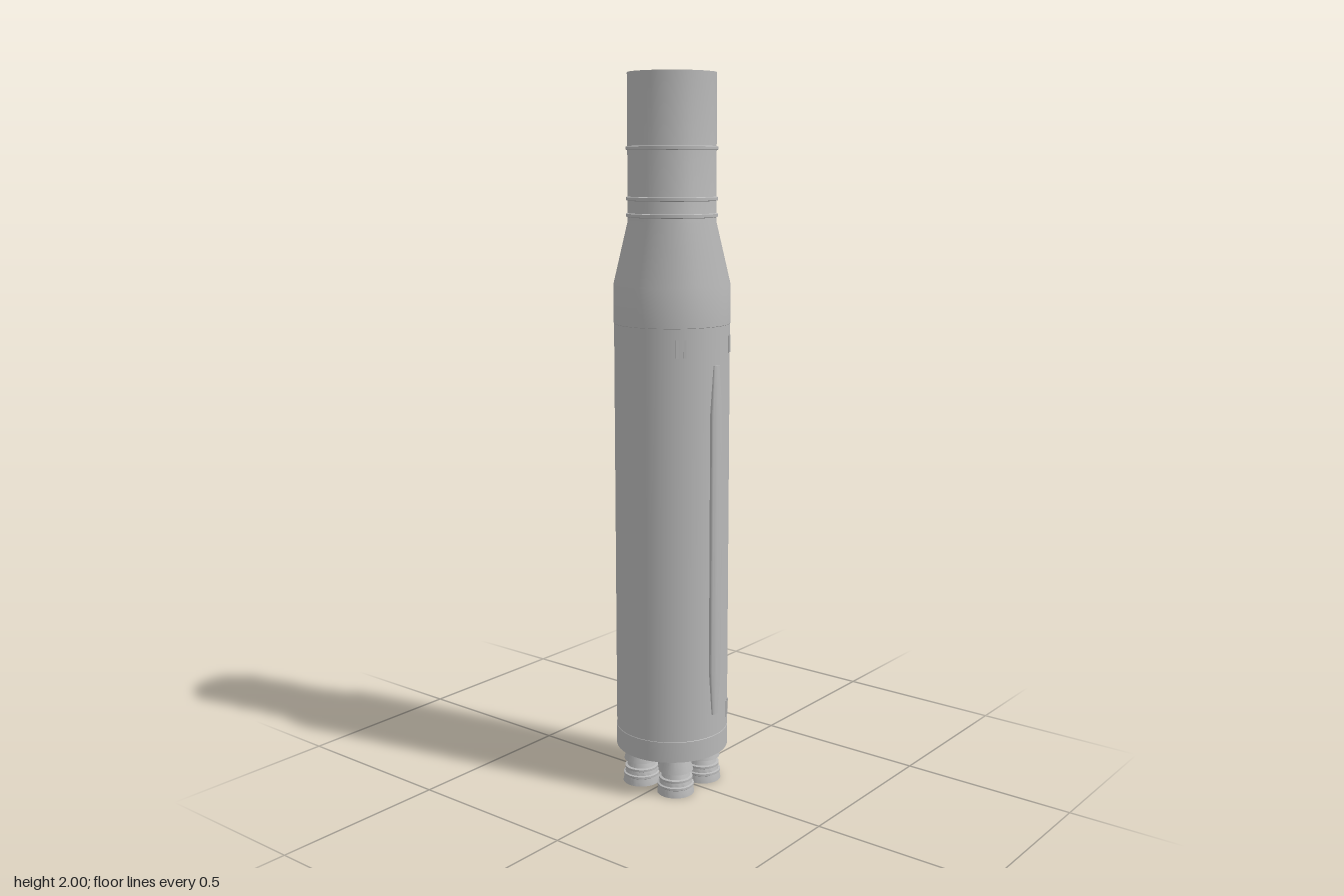
import * as THREE from 'three';
import { toCreasedNormals } from 'three/addons/utils/BufferGeometryUtils.js';

const grey = new THREE.MeshStandardMaterial({ color: 0xb8b8b8 });
grey.name = 'plain grey';

// Turned part from [radius, height] pairs listed bottom to top
function turned(name, profile, segments = 64) {
  const points = profile.map(([r, y]) => new THREE.Vector2(r, y));
  const geometry = toCreasedNormals(new THREE.LatheGeometry(points, segments), 0.35);
  const mesh = new THREE.Mesh(geometry, grey);
  mesh.name = name;
  return mesh;
}

export function createModel() {
  const rocket = new THREE.Group();
  rocket.name = 'rocketStage';
  rocket.position.set(-0.002, 0, -0.006);

  // Main tank with a slightly wider skirt, tapering shoulder and flat-topped upper stage
  rocket.add(turned('tank', [
    [0, 0.116], [0.16, 0.116], [0.16, 0.175], [0.159, 0.176],
    [0.159, 1.334], [0.16, 1.335], [0.16, 1.44],
    [0.12, 1.61], [0.12, 2], [0, 2],
  ]));

  // Rings around the upper stage
  for (const y of [1.626, 1.67, 1.803]) {
    rocket.add(turned('stageRing', [
      [0.119, y - 0.006], [0.1245, y - 0.004], [0.1245, y + 0.004], [0.119, y + 0.006],
    ]));
  }

  // Cable duct on the front, tapered at both ends
  const duct = turned('cableDuct', [
    [0, 0.24], [0.012, 0.24], [0.024, 0.37], [0.024, 1.1], [0.012, 1.23], [0, 1.23],
  ], 20);
  duct.scale.z = 0.5;
  duct.position.set(-0.008, 0, 0.158);
  rocket.add(duct);

  // Pairs of thin raised strips on the skin: [bearing in degrees from front, height]
  for (const [bearing, y] of [[-43, 1.28], [27, 1.28], [95, 1.28], [173, 1.28], [27, 0.23]]) {
    const pair = new THREE.Group();
    pair.name = 'skinStrips';
    for (const side of [-1, 1]) {
      const strip = new THREE.Mesh(new THREE.BoxGeometry(0.008, 0.048, 0.003), grey);
      strip.name = 'skinStrip';
      strip.position.set(side * 0.01, y, 0.1592);
      pair.add(strip);
    }
    pair.rotation.y = THREE.MathUtils.degToRad(bearing);
    rocket.add(pair);
  }

  // Four engines in a square, each a shroud above a ribbed bell
  for (const x of [-0.063, 0.063]) {
    for (const z of [-0.063, 0.063]) {
      const engine = new THREE.Group();
      engine.name = 'engine';
      engine.position.set(x, 0, z);
      engine.add(turned('engineShroud', [[0, 0.068], [0.05, 0.068], [0.036, 0.118]], 32));
      engine.add(turned('engineBell', [
        [0, 0], [0.053, 0], [0.051, 0.012], [0.049, 0.02],
        [0.052, 0.022], [0.052, 0.028], [0.047, 0.03], [0.044, 0.04],
        [0.048, 0.042], [0.048, 0.048], [0.041, 0.05], [0.034, 0.07],
      ], 32));
      rocket.add(engine);
    }
  }

  const model = new THREE.Group();
  model.name = 'model';
  model.add(rocket);
  return model;
}
